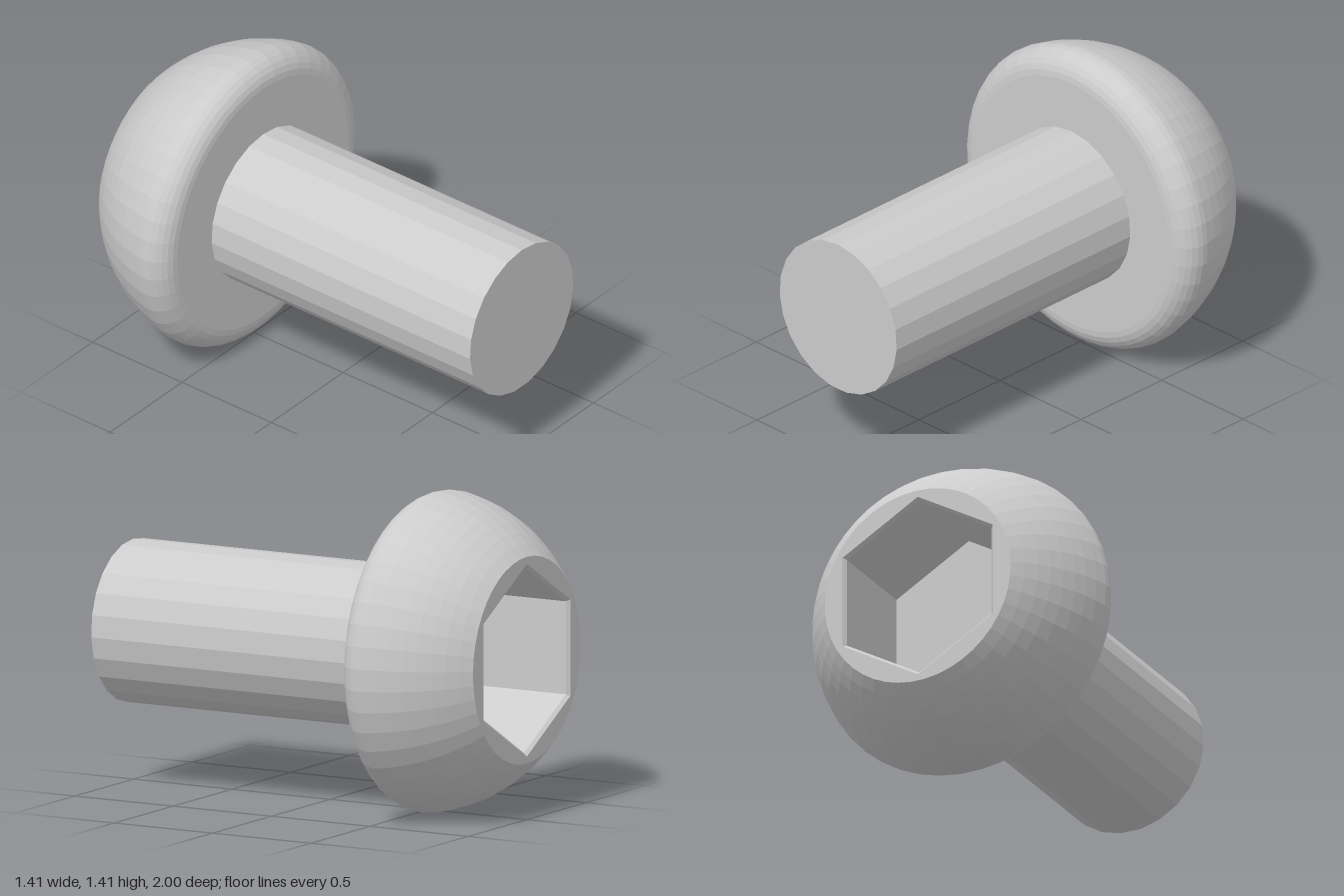
import * as THREE from 'three';

const HEAD_SIDES = 45, SHANK_SIDES = 23;
const BASE = 0.447, TOP = 1;              // head extent along the screw axis
const DOME_R = 0.718, FILLET = 0.11;      // dome is centred on the head's underside
const SOCKET_R = 0.412, LIP_R = 0.427, SOCKET_FLOOR = 0.52;

const material = new THREE.MeshStandardMaterial({ color: 0xcccccc, flatShading: true });

function part(name, geometry) {
  const mesh = new THREE.Mesh(geometry, material);
  mesh.name = name;
  return mesh;
}

// Corners of a regular polygon, matching the lathe's start angle
function polygon(sides, r) {
  return Array.from({ length: sides }, (_, i) => {
    const a = (i / sides) * Math.PI * 2;
    return new THREE.Vector2(r * Math.sin(a), -r * Math.cos(a));
  });
}

// Underside, rounded edge and dome of the head
function headProfile() {
  const points = [new THREE.Vector2(0, BASE)];
  const cr = Math.sqrt((DOME_R - FILLET) ** 2 - FILLET ** 2);
  const tangent = Math.asin(FILLET / (DOME_R - FILLET));
  for (let i = 0; i <= 7; i++) {
    const a = THREE.MathUtils.lerp(-Math.PI / 2, tangent, i / 7);
    points.push(new THREE.Vector2(cr + FILLET * Math.cos(a), BASE + FILLET + FILLET * Math.sin(a)));
  }
  const end = Math.asin((TOP - BASE) / DOME_R);
  for (let i = 1; i <= 8; i++) {
    const a = THREE.MathUtils.lerp(tangent, end, i / 8);
    points.push(new THREE.Vector2(DOME_R * Math.cos(a), BASE + DOME_R * Math.sin(a)));
  }
  return points;
}

export function createModel() {
  const screw = new THREE.Group();
  screw.name = 'buttonHeadScrew';

  const profile = headProfile();
  screw.add(part('head', new THREE.LatheGeometry(profile, HEAD_SIDES)));

  // Flat ring around the socket
  const ring = new THREE.Shape(polygon(HEAD_SIDES, profile[profile.length - 1].x));
  ring.holes.push(new THREE.Path(polygon(6, LIP_R)));
  const ringGeometry = new THREE.ShapeGeometry(ring);
  ringGeometry.rotateX(-Math.PI / 2).translate(0, TOP, 0);
  screw.add(part('headFace', ringGeometry));

  // Hexagonal recess with a small bevelled lip
  const socket = [[LIP_R, TOP], [SOCKET_R, TOP - 0.015], [SOCKET_R, SOCKET_FLOOR], [0, SOCKET_FLOOR]];
  screw.add(part('hexSocket', new THREE.LatheGeometry(socket.map(p => new THREE.Vector2(...p)), 6)));

  // Plain shank
  const shank = new THREE.CylinderGeometry(0.36, 0.36, 1 + BASE, SHANK_SIDES);
  shank.translate(0, (BASE - 1) / 2, 0);
  screw.add(part('shank', shank));

  // Lay the screw down with its head at the back
  screw.rotation.x = -Math.PI / 2;
  screw.position.y = 0.708;

  const model = new THREE.Group();
  model.name = 'screw';
  model.add(screw);
  return model;
}
